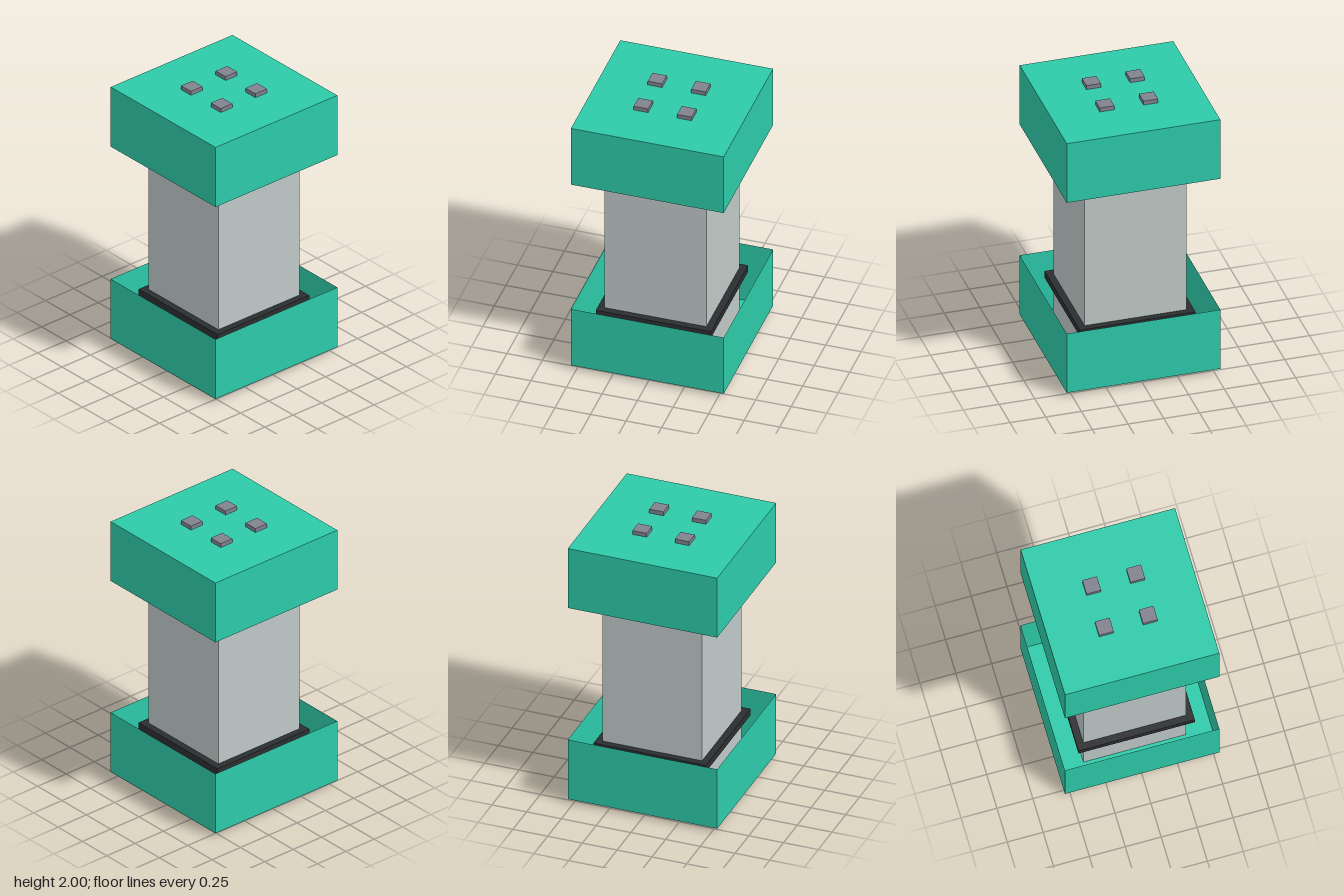
import * as THREE from 'three';

const mat = (name, color, side = THREE.FrontSide) =>
  Object.assign(new THREE.MeshStandardMaterial({ color, side }), { name });

export function createModel() {
  const green = mat('green shell', 0x2dcaa9, THREE.DoubleSide);
  const pale = mat('pale grey', 0xbfc9c7);
  const dark = mat('near black', 0x2b2e30);
  const grey = mat('stud grey', 0x80828e);

  const model = new THREE.Group();
  model.name = 'column';

  const box = (parent, name, material, w, h, d, x, y, z) => {
    const mesh = new THREE.Mesh(new THREE.BoxGeometry(w, h, d), material);
    mesh.name = name;
    mesh.position.set(x, y, z);
    parent.add(mesh);
    return mesh;
  };

  // Square shaft running between the two end caps
  box(model, 'shaft', pale, 0.715, 1.92, 0.715, 0, 1, 0);

  // One end: hollow cap open towards the shaft, dark collar and four studs
  const buildEnd = (name) => {
    const end = new THREE.Group();
    end.name = name;

    const cap = box(end, 'cap', green, 1.075, 0.46, 1.075, 0, 0.26, 0);
    const index = Array.from(cap.geometry.index.array);
    index.splice(12, 6); // leave out the top face
    cap.geometry.setIndex(index);
    cap.geometry.clearGroups();

    box(end, 'collar', dark, 0.81, 0.05, 0.81, 0, 0.395, 0);

    for (const x of [-0.153, 0.153])
      for (const z of [-0.153, 0.153])
        box(end, 'stud', grey, 0.102, 0.03, 0.102, x, 0.015, z);
    return end;
  };

  const bottom = buildEnd('bottomEnd');
  const top = buildEnd('topEnd');
  top.rotation.x = Math.PI; // turned over
  top.position.y = 2;
  model.add(bottom, top);

  return model;
}
